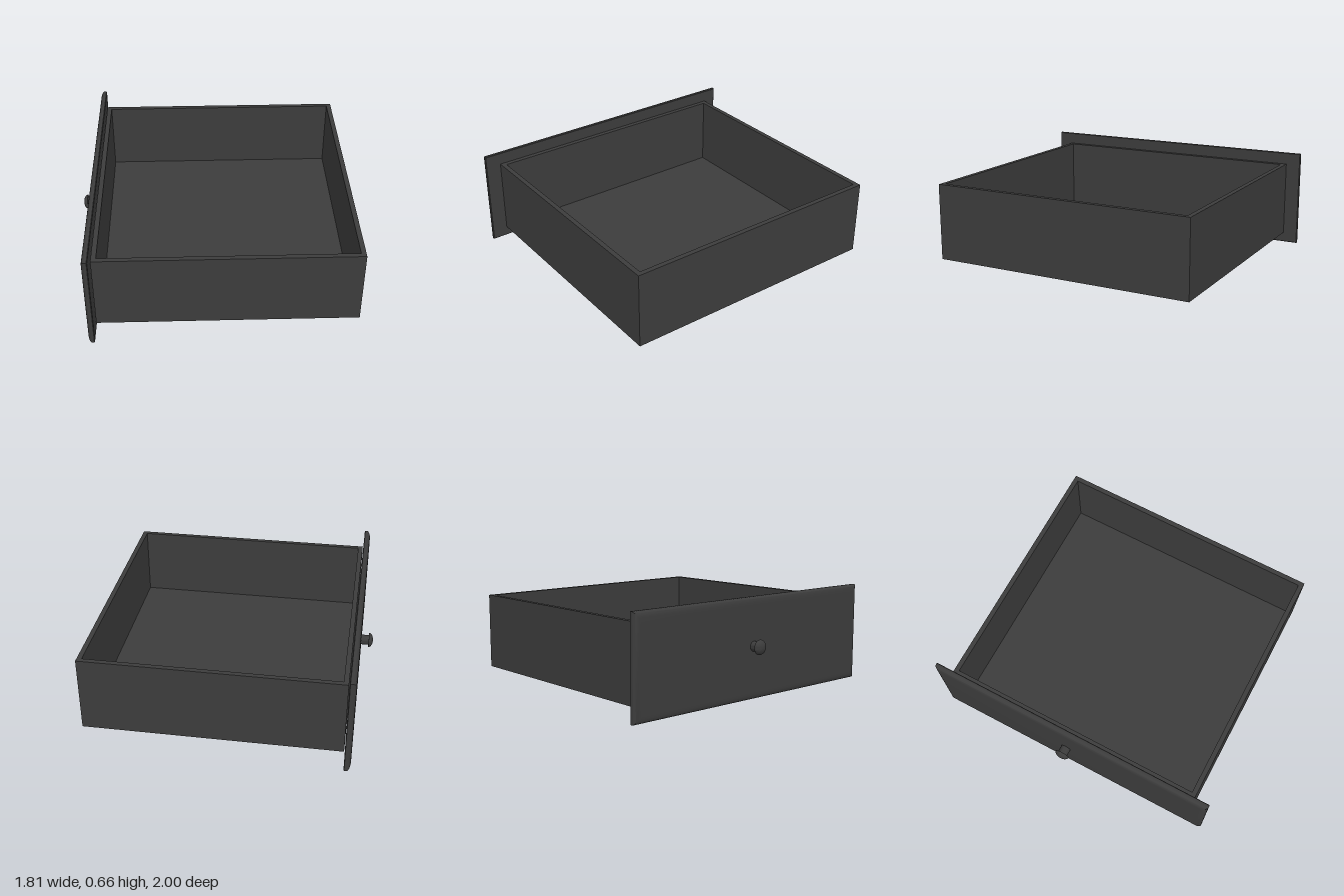
import * as THREE from 'three';
import { toCreasedNormals } from 'three/addons/utils/BufferGeometryUtils.js';

const material = new THREE.MeshStandardMaterial({ color: 0x3c3c3c });

function addPart(group, name, geometry, x = 0, y = 0, z = 0) {
  const mesh = new THREE.Mesh(geometry, material);
  mesh.name = name;
  mesh.position.set(x, y, z);
  group.add(mesh);
  return mesh;
}

function rectangle(Type, halfX, halfZ) {
  const s = new Type();
  s.moveTo(-halfX, -halfZ);
  s.lineTo(halfX, -halfZ);
  s.lineTo(halfX, halfZ);
  s.lineTo(-halfX, halfZ);
  s.closePath();
  return s;
}

// Panel facing -x: rectangular rings stacked along x, inset along a rounded edge
function panelGeometry(halfY, halfZ, backX, rimX, faceX, inset) {
  const sections = [[backX, 0.004], [backX - 0.004, 0]];
  const steps = 8;
  for (let i = 0; i <= steps; i++) {
    const a = (i / steps) * Math.PI / 2;
    sections.push([rimX + (faceX - rimX) * Math.sin(a), inset * (1 - Math.cos(a))]);
  }
  const positions = [];
  for (const [x, d] of sections) {
    const y = halfY - d, z = halfZ - d;
    positions.push(x, -y, -z, x, -y, z, x, y, z, x, y, -z);
  }
  const index = [];
  for (let s = 0; s < sections.length - 1; s++) {
    for (let k = 0; k < 4; k++) {
      const a = s * 4 + k, b = s * 4 + (k + 1) % 4;
      index.push(a, b, a + 4, b, b + 4, a + 4);
    }
  }
  const e = (sections.length - 1) * 4;
  index.push(0, 2, 1, 0, 3, 2, e, e + 1, e + 2, e, e + 2, e + 3);
  const g = new THREE.BufferGeometry();
  g.setAttribute('position', new THREE.Float32BufferAttribute(positions, 3));
  g.setIndex(index);
  return toCreasedNormals(g, 0.6);
}

export function createModel() {
  const group = new THREE.Group();
  group.name = 'drawer';

  // Open box: four walls and a floor
  const halfX = 0.843, halfZ = 0.898, wall = 0.032, floor = 0.03, height = 0.51;
  const cx = 0.063, cz = -0.003, bottom = 0.07;
  const shape = rectangle(THREE.Shape, halfX, halfZ);
  shape.holes.push(rectangle(THREE.Path, halfX - wall, halfZ - wall));
  const walls = new THREE.ExtrudeGeometry(shape, { depth: height - floor, bevelEnabled: false });
  walls.rotateX(-Math.PI / 2);
  addPart(group, 'walls', walls, cx, bottom + floor, cz);
  addPart(group, 'floor', new THREE.BoxGeometry(halfX * 2, floor, halfZ * 2), cx, bottom + floor / 2, cz);

  // Front panel with rounded outer edges
  addPart(group, 'frontPanel', panelGeometry(0.33, 1, -0.786, -0.803, -0.828, 0.045), 0, 0.33, 0);

  // Knob: stem and domed cap turned around one axis
  const profile = [[0, 0], [0.033, 0], [0.033, 0.058], [0.049, 0.058], [0.048, 0.064],
    [0.043, 0.072], [0.032, 0.08], [0.017, 0.085], [0, 0.087]];
  const knob = new THREE.LatheGeometry(profile.map(([r, h]) => new THREE.Vector2(r, h)), 32);
  knob.rotateZ(Math.PI / 2);
  addPart(group, 'knob', toCreasedNormals(knob, 0.7), -0.82, 0.347, -0.027);

  return group;
}
